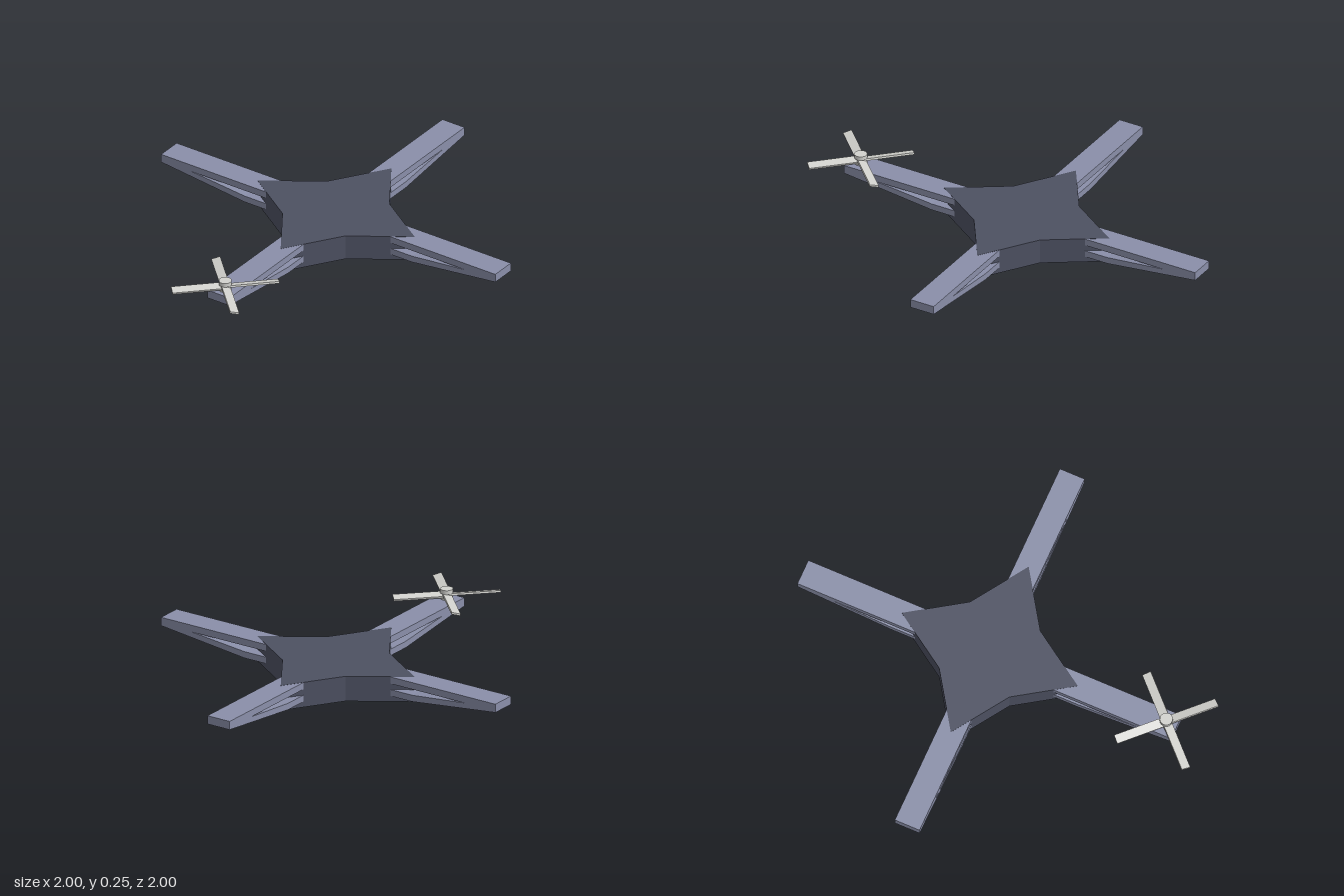
import * as THREE from 'three';

const mat = (name, color) => {
  const m = new THREE.MeshStandardMaterial({ color });
  m.name = name;
  return m;
};

// Four-pointed star outline: tips on the diagonals, notches on the axes
function starPoints(scale) {
  const tip = 0.395 * scale, notch = 0.315 * scale, pts = [];
  for (let i = 0; i < 4; i++) {
    const a = i * Math.PI / 2;
    pts.push(new THREE.Vector2(Math.cos(a) * notch, Math.sin(a) * notch));
    const b = a + Math.PI / 4, r = tip * Math.SQRT2;
    pts.push(new THREE.Vector2(Math.cos(b) * r, Math.sin(b) * r));
  }
  return pts;
}

// Star-shaped slab from y0 to y1, scaled separately at bottom and top
function starSlab(y0, y1, bottomScale, topScale) {
  const geo = new THREE.ExtrudeGeometry(new THREE.Shape(starPoints(1)), { depth: 1, bevelEnabled: false });
  geo.rotateX(-Math.PI / 2);
  const p = geo.attributes.position;
  for (let i = 0; i < p.count; i++) {
    const top = p.getY(i) > 0.5, s = top ? topScale : bottomScale;
    p.setXYZ(i, p.getX(i) * s, top ? y1 : y0, p.getZ(i) * s);
  }
  geo.computeVertexNormals();
  return geo;
}

// Arm side profile (distance outward, height) with the opening between bar and strut
function armGeometry() {
  const v = pts => pts.map(([x, y]) => new THREE.Vector2(x, y));
  const shape = new THREE.Shape(v([
    [0.1, 0.07], [0.594, 0.07], [1.185, 0.137], [1.185, 0.189], [0, 0.189], [0, 0.147], [0.1, 0.147],
  ]));
  shape.holes.push(new THREE.Path(v([[0.2, 0.11], [0.2, 0.147], [0.97, 0.147], [0.594, 0.11]])));
  const width = 0.157;
  const geo = new THREE.ExtrudeGeometry(shape, { depth: width, bevelEnabled: false });
  return geo.translate(0, 0, -width / 2);
}

export function createModel() {
  const model = new THREE.Group();
  model.name = 'drone';
  const hullGrey = mat('hull dark grey', 0x4d5162);
  const armGrey = mat('arm blue grey', 0x8a8fa9);
  const rotorGrey = mat('rotor light grey', 0xd2d2ce);
  const olive = mat('belly olive', 0x77734f);

  const add = (parent, name, geo, material) => {
    const mesh = new THREE.Mesh(geo, material);
    mesh.name = name;
    parent.add(mesh);
    return mesh;
  };

  const frame = new THREE.Group();
  frame.name = 'frame';
  frame.position.set(0.105, 0, -0.11);
  model.add(frame);

  // Hull and tapered belly
  add(frame, 'hull', starSlab(0.035, 0.19, 1, 1), hullGrey);
  add(frame, 'belly', starSlab(0, 0.035, 0.595, 0.747), olive);

  // Four diagonal arms
  const arm = armGeometry();
  for (let i = 0; i < 4; i++) {
    add(frame, 'arm' + (i + 1), arm, armGrey).rotation.y = Math.PI / 4 + i * Math.PI / 2;
  }

  // Single rotor on the front right arm
  const rotor = new THREE.Group();
  rotor.name = 'rotor';
  rotor.position.set(-0.685, 0, 0.682);
  model.add(rotor);
  const disc = (name, r, y0, y1) =>
    add(rotor, name, new THREE.CylinderGeometry(r, r, y1 - y0, 20), rotorGrey).position.y = (y0 + y1) / 2;
  disc('rotorBase', 0.038, 0.187, 0.2);
  disc('rotorShaft', 0.026, 0.2, 0.225);
  disc('rotorCap', 0.038, 0.225, 0.25);

  // Pitched blades
  const blade = new THREE.BoxGeometry(0.305, 0.012, 0.054);
  blade.rotateX(-0.25);
  blade.translate(0.1625, 0.213, 0);
  for (let i = 0; i < 4; i++) {
    add(rotor, 'blade' + (i + 1), blade, rotorGrey).rotation.y = i * Math.PI / 2;
  }
  return model;
}
